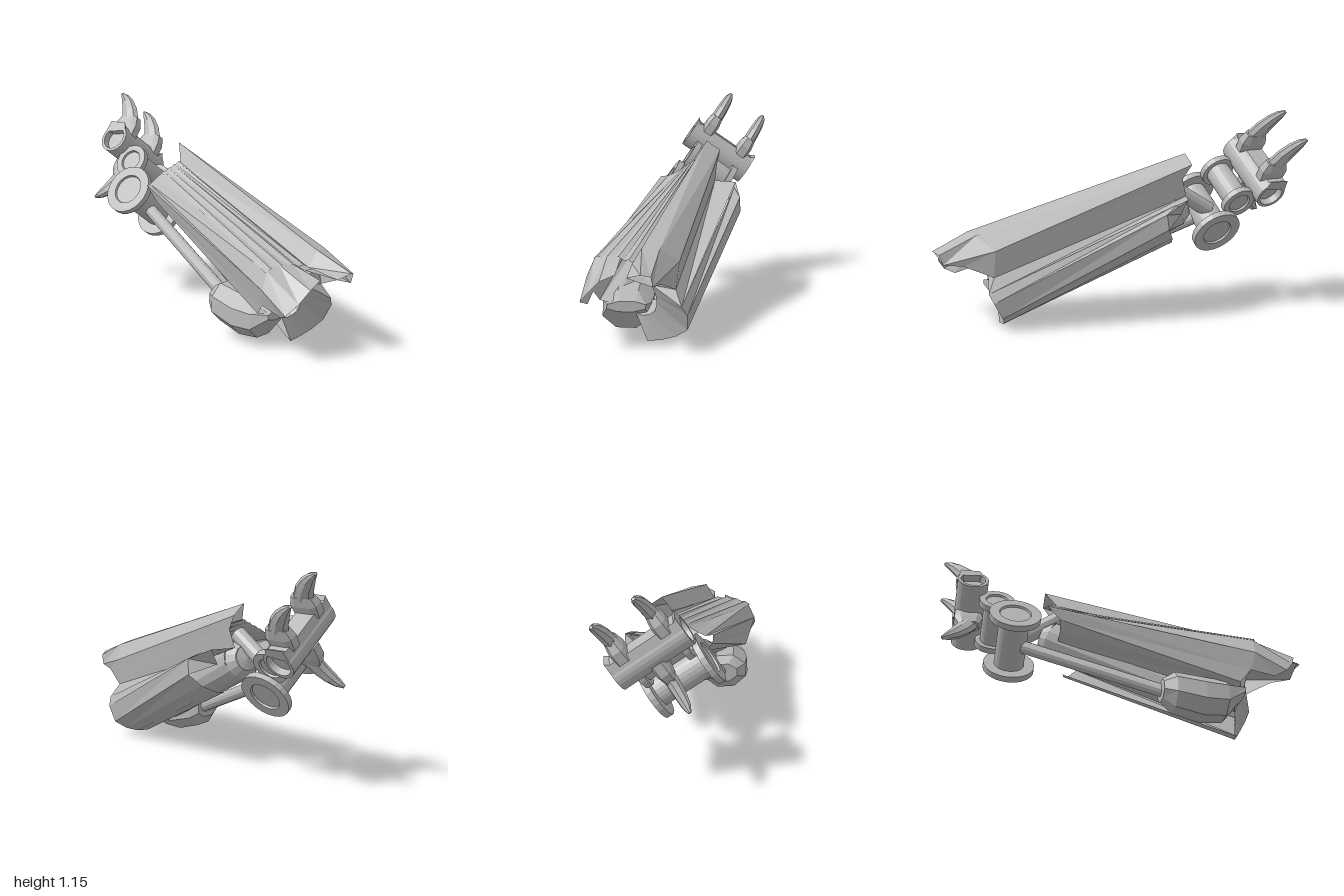
import * as THREE from 'three';

const grey = new THREE.MeshStandardMaterial({ color: 0xb8b8b8, flatShading: true, side: THREE.DoubleSide });
grey.name = 'grey metal';

const V = (p) => new THREE.Vector3(...p);

function part(name, geometry, parent) {
  const mesh = new THREE.Mesh(geometry, grey);
  mesh.name = name;
  parent.add(mesh);
  return mesh;
}

// Skin between successive cross-sections; closed joins each ring and caps the ends.
function loft(sections, closed = false) {
  const out = [];
  const tri = (a, b, c) => out.push(...a, ...b, ...c);
  const n = sections[0].length;
  for (let s = 0; s < sections.length - 1; s++) {
    const a = sections[s], b = sections[s + 1];
    for (let i = 0; i < (closed ? n : n - 1); i++) {
      const j = (i + 1) % n;
      tri(a[i], a[j], b[i]);
      tri(a[j], b[j], b[i]);
    }
  }
  if (closed) {
    const a = sections[0], b = sections[sections.length - 1];
    for (let i = 1; i < n - 1; i++) {
      tri(a[0], a[i + 1], a[i]);
      tri(b[0], b[i], b[i + 1]);
    }
  }
  const g = new THREE.BufferGeometry();
  g.setAttribute('position', new THREE.Float32BufferAttribute(out, 3));
  g.computeVertexNormals();
  return g;
}

// Open tube between two points.
function rod(name, from, to, r0, r1, sides, parent) {
  const a = V(from), b = V(to), d = b.clone().sub(a);
  const m = part(name, new THREE.CylinderGeometry(r1, r0, d.length(), sides, 1, true), parent);
  m.position.copy(a).add(b).multiplyScalar(0.5);
  m.quaternion.setFromUnitVectors(new THREE.Vector3(0, 1, 0), d.normalize());
}

// Axle with a flange and a recessed hub at each end, lying along x.
function spool(name, half, axleR, discR, hubR, depth, pos, parent) {
  const end = [[0, half - depth], [hubR, half - depth], [hubR + 0.004, half], [discR, half], [discR, half - 0.035], [axleR, half - 0.035]];
  const pts = [...end.map(([r, y]) => new THREE.Vector2(r, -y)), ...end.reverse().map(([r, y]) => new THREE.Vector2(r, y))];
  const m = part(name, new THREE.LatheGeometry(pts, 24), parent);
  m.rotation.z = Math.PI / 2;
  m.position.set(...pos);
}

// Curved talon on a knuckle block; dir +1 points up, -1 down.
function claw(name, x, dir, parent) {
  const g = new THREE.Group();
  g.name = name;
  // height, z, half width, half depth, tilt
  const path = [[0.1, 0.0, 0.036, 0.062, 0], [0.165, -0.005, 0.037, 0.06, 0.15], [0.22, -0.035, 0.035, 0.052, 0.35],
    [0.27, -0.075, 0.031, 0.04, 0.55], [0.305, -0.112, 0.024, 0.025, 0.7], [0.327, -0.145, 0.01, 0.008, 0.8]];
  const talon = path.map(([v, z, w, d, tilt]) => Array.from({ length: 8 }, (_, i) => {
    const a = (i / 8) * Math.PI * 2, s = Math.sin(a) * d;
    return [Math.cos(a) * w, dir * (v + s * Math.sin(tilt)), z + s * Math.cos(tilt)];
  }));
  part('talon', loft(talon, true), g);
  const block = [[0.05, 0.042, 0.075], [0.12, 0.042, 0.08], [0.175, 0.032, 0.06]];
  part('knuckle', loft(block.map(([v, w, d]) =>
    [[-w, -d * 0.6], [-w * 0.6, -d], [w * 0.6, -d], [w, -d * 0.6], [w, d * 0.6], [w * 0.6, d], [-w * 0.6, d], [-w, d * 0.6]]
      .map(([px, pz]) => [px, dir * v, pz])), true), g);
  g.position.set(x, 0.79, -0.835);
  parent.add(g);
}

export function createModel() {
  const model = new THREE.Group();
  model.name = 'clawArm';

  // Hand: everything here is square to the tilted wrist
  const hand = new THREE.Group();
  hand.name = 'hand';
  hand.rotation.z = -0.6016;
  model.add(hand);
  const mid = -0.277;
  spool('wristAxle', 0.182, 0.085, 0.145, 0.085, 0.012, [mid, 0.488, -0.592], hand);
  spool('middleAxle', 0.15, 0.072, 0.1, 0.06, 0.012, [mid, 0.68, -0.685], hand);
  spool('palmTube', 0.211, 0.088, 0.088, 0.066, 0.04, [mid, 0.785, -0.825], hand);
  // Plate along the palm, flared at both ends
  part('palmPlate', loft([-0.211, -0.19, 0.19, 0.211].map((x, i) => {
    const top = i % 3 ? 0.872 : 0.89;
    return [[mid + x, 0.84, -0.765], [mid + x, top, -0.785], [mid + x, top, -0.895], [mid + x, 0.82, -0.905]];
  }), true), hand);
  for (const side of [-1, 1]) claw('upperClaw', mid + side * 0.123, 1, hand);
  claw('lowerClaw', mid, -1, hand);

  // Forearm core and struts
  const forearm = new THREE.Group();
  forearm.name = 'forearm';
  model.add(forearm);
  rod('core', [-0.15, 0.22, 0.4], [0.11, 0.61, -0.36], 0.1, 0.105, 14, forearm);
  rod('coreShoulder', [0.11, 0.61, -0.36], [0.125, 0.63, -0.41], 0.105, 0.07, 14, forearm);
  rod('coreEnd', [0.125, 0.63, -0.41], [0.128, 0.635, -0.425], 0.07, 0.001, 14, forearm);
  rod('upperStrut', [0.09, 0.745, -0.32], [0.12, 0.58, -0.58], 0.045, 0.045, 12, forearm);
  rod('lowerStrut', [-0.28, 0.15, 0.34], [0.03, 0.52, -0.53], 0.036, 0.036, 12, forearm);

  // Elbow pod: faceted rings along z
  const pod = [[0.19, -0.25, 0.2, 0.09, 0.06], [0.25, -0.27, 0.185, 0.13, 0.11], [0.4, -0.285, 0.15, 0.145, 0.12],
    [0.52, -0.29, 0.145, 0.14, 0.11], [0.62, -0.29, 0.185, 0.11, 0.03]];
  part('elbowPod', loft(pod.map(([z, x, y, rx, ry]) => Array.from({ length: 8 }, (_, i) => {
    const a = (i / 8) * Math.PI * 2 + 0.35;
    return [x + Math.cos(a) * rx, y + Math.sin(a) * ry, z];
  })), true), forearm);

  // Ridged top cover with a beak at the front
  part('topCover', loft([
    [[-0.27, 0.42, 0.96], [-0.2, 0.445, 1.0], [-0.15, 0.43, 0.98], [-0.14, 0.375, 0.96]],
    [[-0.25, 0.45, 0.77], [-0.2, 0.535, 0.79], [-0.11, 0.525, 0.78], [-0.01, 0.45, 0.71]],
    [[0.08, 0.82, -0.34], [0.14, 0.925, -0.4], [0.22, 0.87, -0.4], [0.2, 0.79, -0.35]],
  ]), forearm);
  part('beakUnderside', loft([
    [[-0.27, 0.42, 0.96], [-0.14, 0.375, 0.96]],
    [[-0.25, 0.43, 0.75], [-0.03, 0.4, 0.72]],
  ]), forearm);

  // Trough between the cover and the half-pipe shell
  part('troughWall', loft([
    [[-0.14, 0.375, 0.96], [-0.1, 0.365, 0.86]],
    [[-0.01, 0.45, 0.71], [-0.03, 0.3, 0.71]],
    [[0.2, 0.79, -0.35], [0.19, 0.69, -0.38]],
  ]), forearm);
  part('troughFloor', loft([
    [[-0.03, 0.3, 0.71], [0, 0.22, 0.757]],
    [[0.19, 0.69, -0.38], [0.31, 0.69, -0.32]],
  ]), forearm);

  // Pleated deck fanning out toward the front
  const front = [], back = [];
  for (let i = 0; i <= 8; i++) {
    const t = i / 8, lift = i % 2 ? 0.007 : -0.004;
    front.push([-0.46 + 0.22 * t, 0.45 + 0.02 * Math.sin(Math.PI * t) + lift, 0.65 + 0.12 * t]);
    back.push([0.09 * t, 0.76 + 0.07 * t + lift * 0.5, -0.42 + 0.07 * t]);
  }
  part('pleatedDeck', loft([front, back]), forearm);

  // Right-hand shell with a hooked front lip
  part('outerShell', loft([
    [[-0.33, 0.42, 0.895], [-0.41, 0.385, 0.89], [-0.47, 0.32, 0.86], [-0.515, 0.26, 0.81], [-0.48, 0.235, 0.757]],
    [[-0.31, 0.47, 0.72], [-0.38, 0.475, 0.68], [-0.45, 0.45, 0.65], [-0.49, 0.36, 0.65], [-0.46, 0.27, 0.63]],
    [[0.0, 0.76, -0.42], [-0.05, 0.73, -0.43], [-0.09, 0.71, -0.43], [-0.13, 0.71, -0.42], [-0.135, 0.63, -0.35]],
  ]), forearm);
  part('lowerSidePanel', loft([
    [[-0.46, 0.27, 0.63], [-0.43, 0.21, 0.58], [-0.37, 0.2, 0.6], [-0.25, 0.18, 0.5]],
    [[-0.135, 0.63, -0.35], [-0.08, 0.58, -0.34], [-0.01, 0.56, -0.34], [0.06, 0.54, -0.32]],
  ]), forearm);

  // Left-hand half-pipe shell with a notched rear
  const lip = [[0, 0.22, 0.757], [0.03, 0.17, 0.74], [0.03, 0.08, 0.69], [-0.03, 0.035, 0.655], [-0.1, 0.01, 0.63], [-0.18, 0.0, 0.62]];
  part('halfPipeShell', loft([lip,
    [[0.3, 0.67, -0.25], [0.33, 0.625, -0.17], [0.335, 0.54, -0.18], [0.29, 0.48, -0.23], [0.22, 0.44, -0.27], [0.16, 0.43, -0.285]],
  ]), forearm);
  part('shellHook', loft([
    [[0.31, 0.69, -0.32], [0.25, 0.6, -0.31]],
    [[0.33, 0.625, -0.17], [0.335, 0.54, -0.18]],
  ]), forearm);

  // Curved front liner inside the half pipe
  part('frontLiner', loft([
    [[-0.04, 0.4, 0.7], [-0.03, 0.3, 0.71], ...lip],
    [[-0.17, 0.365, 0.7], [-0.155, 0.32, 0.69], [-0.135, 0.26, 0.67], [-0.13, 0.21, 0.65], [-0.14, 0.165, 0.635], [-0.165, 0.145, 0.62], [-0.2, 0.135, 0.61], [-0.24, 0.145, 0.6]],
    [[-0.14, 0.38, 0.5], [-0.125, 0.34, 0.5], [-0.11, 0.29, 0.5], [-0.105, 0.25, 0.5], [-0.115, 0.22, 0.5], [-0.14, 0.195, 0.5], [-0.175, 0.185, 0.5], [-0.21, 0.19, 0.5]],
  ]), forearm);

  return model;
}
